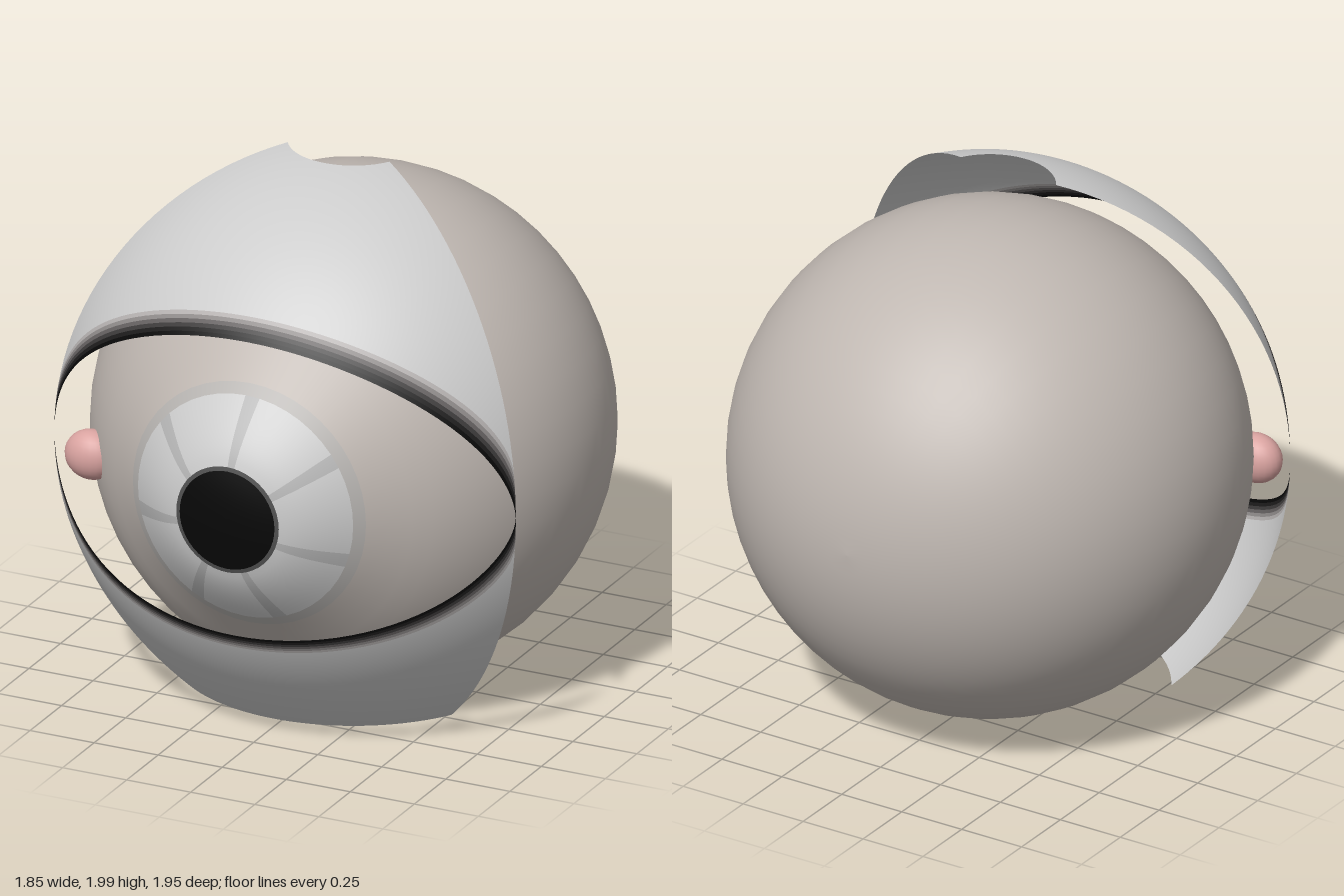
import * as THREE from 'three';
import { ParametricGeometry } from 'three/addons/geometries/ParametricGeometry.js';

const CENTRE = new THREE.Vector3(0, 0.935, -0.045);
const BALL = 0.925;
const rad = THREE.MathUtils.degToRad;

function add(parent, name, geometry, color, side = THREE.FrontSide) {
  const mesh = new THREE.Mesh(geometry, new THREE.MeshStandardMaterial({ color, side, roughness: 0.8 }));
  mesh.name = name;
  parent.add(mesh);
  return mesh;
}

// Eyeball profile: a sphere with a smooth corneal bulge; angle is measured from the front pole
function profilePoint(angle) {
  const r = BALL * Math.sin(angle);
  const bulge = angle < Math.PI / 2 ? 0.1 * (1 - THREE.MathUtils.smoothstep(r, 0.18, 0.58)) : 0;
  return new THREE.Vector2(Math.max(r, 0), BALL * Math.cos(angle) + bulge);
}

// Lathe band between two profile angles, listed from back to front so it faces outward
function eyeBand(a0, a1, steps, segments, phi0 = 0, phi = Math.PI * 2) {
  const points = [];
  for (let i = 0; i <= steps; i++) points.push(profilePoint(a1 + (a0 - a1) * i / steps));
  return new THREE.LatheGeometry(points, segments, phi0, phi);
}

function buildEye() {
  const eye = new THREE.Group();
  eye.name = 'eyeball';
  eye.position.copy(CENTRE);
  eye.rotation.x = Math.PI / 2;
  const angleAt = (r) => Math.asin(r / BALL);
  const pupil = angleAt(0.185), edge = angleAt(0.2), iris = angleAt(0.42), limbus = angleAt(0.455);

  add(eye, 'pupil', eyeBand(0, pupil, 8, 48), 0x070707);
  add(eye, 'pupilEdge', eyeBand(pupil, edge, 1, 48), 0x505050);
  // Iris wedges in slightly varied greys give radial fibres
  const shades = [0xcccccc, 0xbcbcbc, 0xc6c6c6, 0xb4b4b4, 0xcacaca, 0xc0c0c0];
  const count = 48, step = Math.PI * 2 / count;
  for (let i = 0; i < count; i++) {
    add(eye, 'irisFibre', eyeBand(edge, iris, 10, 1, i * step, step), shades[(i * i + 3 * i) % 7 % 6]);
  }
  add(eye, 'irisRim', eyeBand(iris, limbus, 2, 48), 0xb6b3b0);
  add(eye, 'sclera', eyeBand(limbus, Math.PI, 32, 48), 0xbfb7b1);
  return eye;
}

// Strip of an eyelid from s0 to s1, where s = 0 is the almond rim and s = 1 the outer edge
function lidStrip({ dir, rim, end, radius }, s0, s1, rows) {
  const half = rad(58.8);
  const geometry = new ParametricGeometry((u, v, target) => {
    const t = Math.sin((u - 0.5) * Math.PI) * dir;
    const s = s0 + (s1 - s0) * v;
    const rimAngle = rad(rim) * Math.pow(Math.max(0, 1 - t * t), 0.6);
    const el = dir * (rimAngle + (rad(end) - rimAngle) * s);
    const R = 1.053 + (radius - 1.053) * s * s;
    const az = t * half;
    target.set(R * Math.cos(el) * Math.sin(az), R * Math.sin(el), R * Math.cos(el) * Math.cos(az));
  }, 56, rows);
  // Smooth radial normals keep neighbouring strips seamless
  const p = geometry.attributes.position, n = geometry.attributes.normal;
  const d = new THREE.Vector3();
  for (let i = 0; i < p.count; i++) {
    d.fromBufferAttribute(p, i).normalize();
    n.setXYZ(i, d.x, d.y, d.z);
  }
  return geometry;
}

function buildLid(name, spec) {
  const lid = new THREE.Group();
  lid.name = name;
  lid.position.copy(CENTRE);
  // Dark lash line fading into the lid
  const fade = [0x080808, 0x1c1b1b, 0x3c3a3a, 0x646060, 0x8e8a89, 0xb4b0af];
  const width = 0.02;
  fade.forEach((color, i) => {
    add(lid, 'lashLine', lidStrip(spec, i * width, (i + 1) * width, 1), color, THREE.DoubleSide);
  });
  add(lid, 'lidSkin', lidStrip(spec, fade.length * width, 1, 24), 0xcccccc, THREE.DoubleSide);
  return lid;
}

export function createModel() {
  const model = new THREE.Group();
  model.name = 'eye';
  model.add(buildEye());
  model.add(buildLid('upperLid', { dir: 1, rim: 36, end: 77.7, radius: 1.09 }));
  model.add(buildLid('lowerLid', { dir: -1, rim: 26, end: 54.6, radius: 1.098 }));

  // Small pink bead in the inner corner
  const bead = add(model, 'tearDuct', new THREE.SphereGeometry(1, 24, 16), 0xd9a3a0);
  bead.scale.set(0.1, 0.092, 0.075);
  bead.position.set(-0.74, 0.885, 0.53);
  return model;
}
